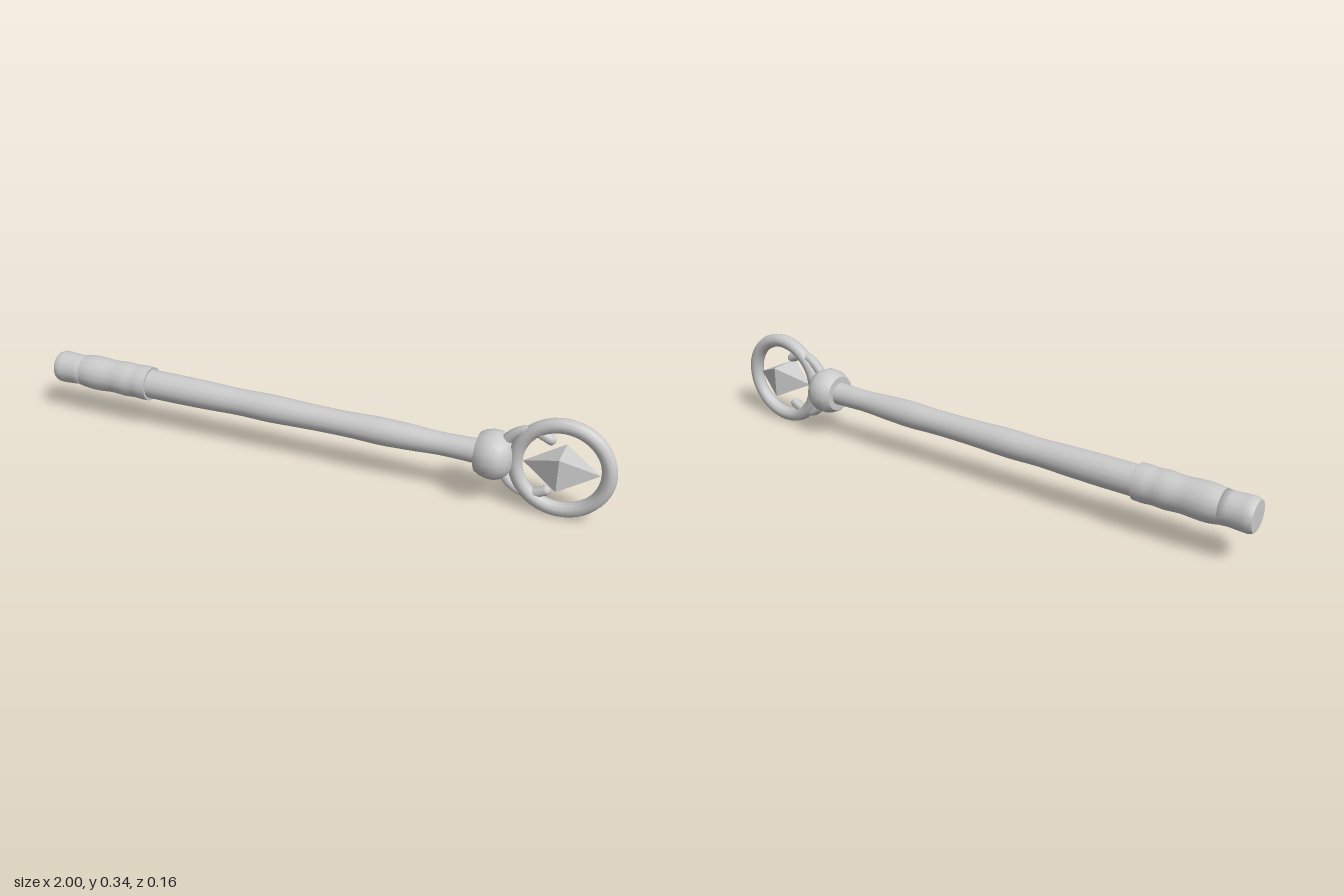
import * as THREE from 'three';

const AXIS_Y = 0.169;
const material = new THREE.MeshStandardMaterial({ color: 0xcccccc });

function addMesh(group, name, geometry, mat = material) {
  const mesh = new THREE.Mesh(geometry, mat);
  mesh.name = name;
  group.add(mesh);
  return mesh;
}

// Turned part lying along x, from [x, radius] pairs
function turned(profile, segments) {
  const points = profile.map(([x, r]) => new THREE.Vector2(r, x));
  return new THREE.LatheGeometry(points, segments).rotateZ(-Math.PI / 2);
}

// Smooths the worn, uneven profile of a carved part and closes its ends
function carved(profile, divisions) {
  const curve = new THREE.SplineCurve(profile.map(([x, r]) => new THREE.Vector2(x, r)));
  const pts = curve.getPoints(divisions).map((p) => [p.x, p.y]);
  const first = pts[0], last = pts[pts.length - 1];
  // doubled end points keep the rims sharp
  return turned([[first[0], 0], first, [first[0] + 0.0005, first[1]], ...pts.slice(1),
    [last[0] + 0.0005, last[1]], [last[0] + 0.0005, 0]], 16);
}

export function createModel() {
  const model = new THREE.Group();
  const staff = new THREE.Group();
  staff.name = 'staff';
  staff.position.y = AXIS_Y;
  model.add(staff);

  // Long wooden shaft, gently uneven
  addMesh(staff, 'shaft', carved([
    [-0.65, 0.051], [-0.5, 0.051], [-0.38, 0.049], [-0.27, 0.046], [-0.16, 0.048],
    [-0.05, 0.045], [0.04, 0.043], [0.14, 0.043], [0.24, 0.046], [0.34, 0.043],
    [0.44, 0.038], [0.52, 0.039], [0.6, 0.042],
  ], 48));

  // Wrapped grip with soft ridges
  addMesh(staff, 'grip', carved([
    [-0.9, 0.055], [-0.86, 0.061], [-0.82, 0.061], [-0.77, 0.058], [-0.72, 0.061],
    [-0.68, 0.059], [-0.65, 0.061], [-0.62, 0.06],
  ], 32));

  // Pommel with a small bevel at the end
  addMesh(staff, 'pommel', turned([
    [-1, 0], [-1, 0.05], [-0.999, 0.051], [-0.985, 0.057], [-0.97, 0.057],
    [-0.92, 0.054], [-0.88, 0.057], [-0.879, 0],
  ], 16));

  // Bulbous collar holding the head
  addMesh(staff, 'collar', turned([
    [0.567, 0], [0.567, 0.062], [0.568, 0.064], [0.585, 0.074], [0.605, 0.08],
    [0.63, 0.08], [0.65, 0.073], [0.668, 0.058], [0.68, 0.036], [0.685, 0],
  ], 16));

  // Head ring
  const ring = addMesh(staff, 'ring', new THREE.TorusGeometry(0.145, 0.024, 10, 48));
  ring.position.x = 0.831;

  // Claws that curl from the collar through the ring
  for (const side of [1, -1]) {
    const path = new THREE.CatmullRomCurve3([
      [0.645, 0.05], [0.675, 0.085], [0.705, 0.104], [0.745, 0.108], [0.79, 0.09],
    ].map(([x, y]) => new THREE.Vector3(x, y * side, 0)));
    const claw = new THREE.Group();
    claw.name = side > 0 ? 'upperClaw' : 'lowerClaw';
    addMesh(claw, 'clawArm', new THREE.TubeGeometry(path, 16, 0.017, 8));
    const tip = addMesh(claw, 'clawTip', new THREE.SphereGeometry(0.017, 8, 6));
    tip.position.copy(path.getPoint(1));
    tip.scale.setScalar(0.98);
    staff.add(claw);
  }

  // Faceted crystal floating in the ring: a square double pyramid along x
  const facets = material.clone();
  facets.flatShading = true;
  const gem = new THREE.LatheGeometry(
    [[0, -0.12], [0.078, 0], [0, 0.12]].map(([r, y]) => new THREE.Vector2(r, y)),
    4, Math.PI / 4).rotateZ(-Math.PI / 2);
  addMesh(staff, 'crystal', gem, facets).position.x = 0.83;

  return model;
}
